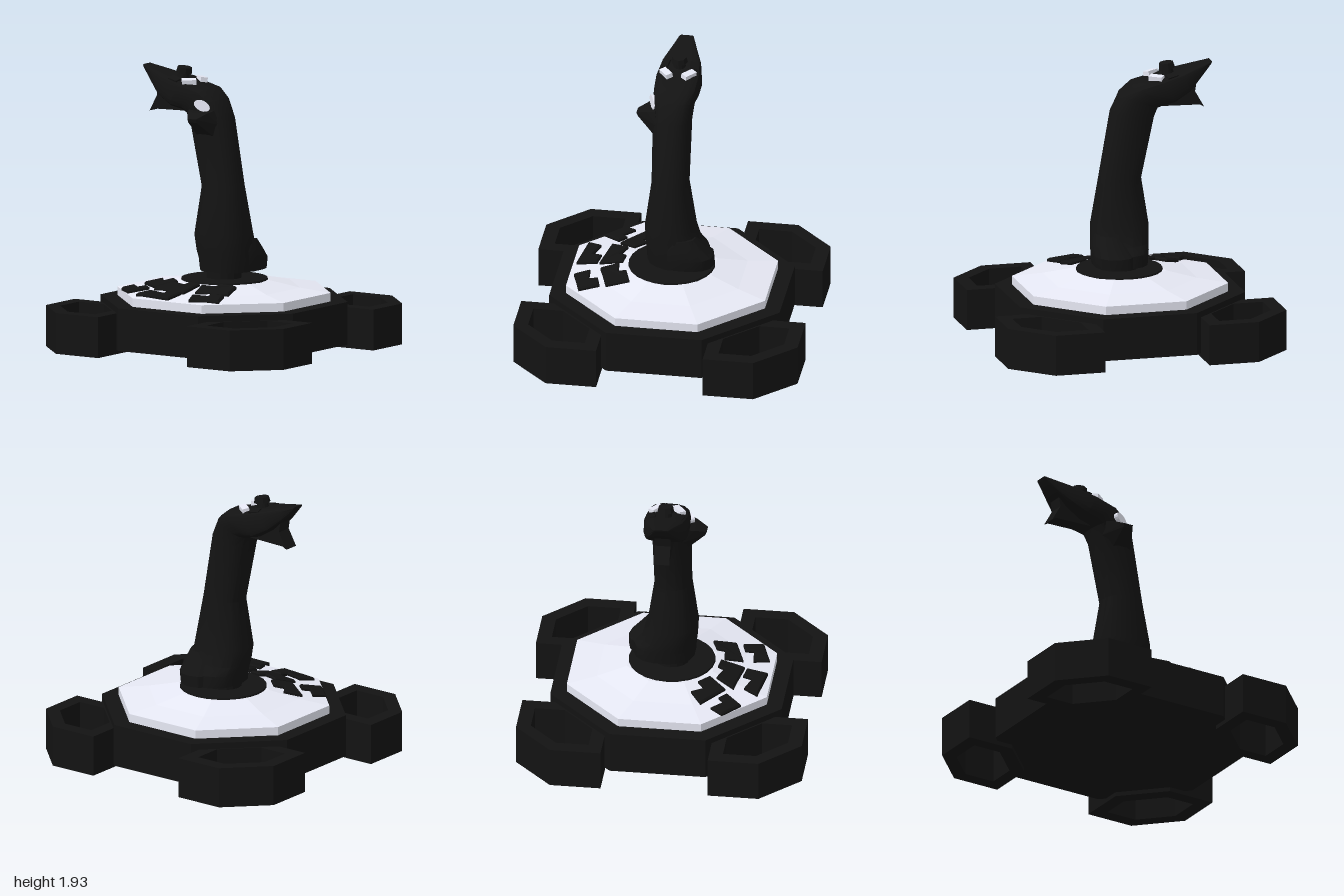
import * as THREE from 'three';
import { toCreasedNormals } from 'three/addons/utils/BufferGeometryUtils.js';
import { ConvexGeometry } from 'three/addons/geometries/ConvexGeometry.js';

const black = new THREE.MeshStandardMaterial({ color: 0x131313, flatShading: true });
const blackSmooth = new THREE.MeshStandardMaterial({ color: 0x131313 });
const pale = new THREE.MeshStandardMaterial({ color: 0xe6e8f4, flatShading: true });

// Regular octagonal solid from a profile of [apothem, y]
function octagon(profile) {
  const k = 1 / Math.cos(Math.PI / 8);
  return new THREE.LatheGeometry(profile.map(([r, y]) => new THREE.Vector2(r * k, y)), 8, Math.PI / 8);
}

// Flat slab from an outline of [x, z], rising from y = 0
function slab(outline, height, hole, bevel = 0) {
  const flip = (pts) => pts.map(([x, z]) => new THREE.Vector2(x, -z));
  const shape = new THREE.Shape(flip(outline));
  if (hole) shape.holes.push(new THREE.Path(flip(hole).reverse()));
  const g = new THREE.ExtrudeGeometry(shape, {
    depth: height, bevelEnabled: bevel > 0, bevelSize: bevel, bevelOffset: -bevel,
    bevelThickness: bevel, bevelSegments: 1,
  });
  return g.rotateX(-Math.PI / 2);
}

// Skin over rings; each ring is [ax, ay, bx, by, zMin, zMax, roundness]
function loft(rings, sides) {
  const pos = [], index = [];
  for (const [ax, ay, bx, by, z0, z1, round = 0.85] of rings) {
    const soft = (v) => Math.sign(v) * Math.abs(v) ** round;
    for (let j = 0; j < sides; j++) {
      const t = ((j + 0.5) / sides) * Math.PI * 2, c = soft(Math.cos(t)), s = soft(Math.sin(t));
      pos.push((ax + bx) / 2 + (c * (bx - ax)) / 2, (ay + by) / 2 + (c * (by - ay)) / 2,
        (z0 + z1) / 2 + (s * (z1 - z0)) / 2);
    }
  }
  const top = (rings.length - 1) * sides;
  for (let i = 0; i < rings.length - 1; i++) {
    for (let j = 0; j < sides; j++) {
      const a = i * sides + j, b = i * sides + ((j + 1) % sides);
      index.push(a, a + sides, b, b, a + sides, b + sides);
    }
  }
  for (let j = 1; j < sides - 1; j++) index.push(0, j, j + 1, top, top + j + 1, top + j);
  const g = new THREE.BufferGeometry();
  g.setAttribute('position', new THREE.Float32BufferAttribute(pos, 3));
  g.setIndex(index);
  return toCreasedNormals(g, 0.5);
}

// Height of the sloping top plate at a point
function plateHeight(x, z) {
  const d = Math.max(Math.abs(x), Math.abs(z), (Math.abs(x) + Math.abs(z)) * Math.SQRT1_2);
  return d > 0.5 ? 0.39 + (0.7 - d) * 0.15 : 0.42 + (0.5 - d) * 0.23;
}

export function createModel() {
  const model = new THREE.Group();
  const add = (name, geometry, material = black, parent = model) => {
    const m = new THREE.Mesh(geometry, material);
    m.name = name;
    parent.add(m);
    return m;
  };

  // Base and pale top plate
  add('base', octagon([[0, 0.03], [0.81, 0.03], [0.81, 0.33], [0, 0.33]]));
  add('topPlate', octagon([[0.7, 0.32], [0.7, 0.39], [0.5, 0.42], [0.3, 0.466], [0, 0.468]]), pale);

  // Hollow corner feet, one turned to each corner
  const foot = slab(
    [[0.375, 1], [0.73, 1], [1, 0.73], [1, 0.375], [0.65, 0.375], [0.375, 0.65]], 0.287,
    [[0.47, 0.9], [0.7, 0.9], [0.9, 0.7], [0.9, 0.47], [0.69, 0.47], [0.47, 0.69]]);
  ['frontLeftFoot', 'backLeftFoot', 'backRightFoot', 'frontRightFoot'].forEach((name, i) => {
    add(name, foot).rotation.y = (i * Math.PI) / 2;
  });

  // Notched keys that follow the slope of the plate
  const keys = [
    [[-0.49, 0.26], [-0.385, 0.18], [-0.325, 0.265], [-0.27, 0.215], [-0.19, 0.29], [-0.29, 0.41]],
    [[-0.575, 0.42], [-0.52, 0.335], [-0.435, 0.415], [-0.395, 0.375], [-0.335, 0.425], [-0.44, 0.54]],
    [[-0.27, 0.465], [-0.19, 0.335], [-0.075, 0.375], [-0.06, 0.33], [0.03, 0.34], [0.01, 0.51]],
    [[-0.305, 0.635], [-0.25, 0.535], [-0.115, 0.575], [-0.105, 0.51], [0, 0.525], [-0.01, 0.675]],
    [[0.055, 0.36], [0.165, 0.35], [0.16, 0.295], [0.28, 0.255], [0.32, 0.415], [0.09, 0.49]],
    [[0.11, 0.555], [0.235, 0.545], [0.225, 0.485], [0.315, 0.46], [0.365, 0.6], [0.155, 0.665]],
  ];
  const keyGroup = new THREE.Group();
  keyGroup.name = 'keys';
  model.add(keyGroup);
  keys.forEach((outline, i) => {
    const g = slab(outline, 0.014, null, 0.01);
    const p = g.attributes.position;
    for (let k = 0; k < p.count; k++) p.setY(k, p.getY(k) + plateHeight(p.getX(k), p.getZ(k)));
    g.computeVertexNormals();
    add('key' + (i + 1), g, black, keyGroup);
  });

  // Collar and neck under the stick
  add('collar', new THREE.CylinderGeometry(0.3, 0.305, 0.022, 24)).position.set(0.005, 0.467, 0);
  add('neck', new THREE.CylinderGeometry(0.125, 0.125, 0.09, 16)).position.set(0, 0.505, 0);

  // Grip bending over into the flat-topped, pointed head
  add('grip', loft([
    [-0.175, 0.53, 0.21, 0.53, -0.27, 0.165],
    [-0.183, 0.615, 0.215, 0.615, -0.265, 0.172],
    [-0.19, 0.67, 0.212, 0.67, -0.21, 0.178],
    [-0.2, 0.78, 0.205, 0.8, -0.17, 0.185],
    [-0.148, 1.12, 0.148, 1.13, -0.12, 0.14],
    [-0.24, 1.55, 0.065, 1.6, -0.125, 0.145],
    [-0.265, 1.62, 0.0, 1.73, -0.135, 0.148, 0.75],
    [-0.3, 1.64, -0.09, 1.8, -0.155, 0.155, 0.65],
    [-0.37, 1.66, -0.27, 1.84, -0.158, 0.158, 0.5],
    [-0.48, 1.73, -0.42, 1.87, -0.135, 0.135, 0.4],
    [-0.56, 1.81, -0.54, 1.9, -0.09, 0.09, 0.4],
    [-0.64, 1.9, -0.65, 1.925, -0.05, 0.05, 0.4],
  ], 16), blackSmooth);

  // Palm rest flaring out at the back of the grip
  add('palmRest', loft([
    [-0.07, 0.53, 0.22, 0.53, -0.31, 0.1],
    [-0.07, 0.61, 0.23, 0.61, -0.31, 0.1],
    [-0.04, 0.66, 0.222, 0.68, -0.245, 0.09],
    [0, 0.73, 0.2, 0.75, -0.18, 0.05],
  ], 14), blackSmooth);

  // Trigger under the head
  const triggerShape = new THREE.Shape([[-0.59, 1.605], [-0.56, 1.622], [-0.25, 1.63], [-0.25, 1.74],
    [-0.42, 1.83], [-0.54, 1.81], [-0.525, 1.72]].map(([x, y]) => new THREE.Vector2(x, y)));
  add('trigger', new THREE.ExtrudeGeometry(triggerShape, { depth: 0.11, bevelEnabled: false }))
    .position.z = -0.055;

  // Thumb ledge on the front of the grip
  const ledge = [];
  for (const [y, z, x0, x1] of [[1.66, 0.12, -0.21, 0.0], [1.645, 0.18, -0.18, -0.02],
    [1.61, 0.26, -0.13, -0.06], [1.585, 0.25, -0.13, -0.06], [1.48, 0.13, -0.14, 0.0],
    [1.56, 0.1, -0.21, 0.03]]) {
    ledge.push(new THREE.Vector3(x0, y, z), new THREE.Vector3(x1, y, z));
  }
  add('thumbLedge', new ConvexGeometry(ledge));

  // Oval pale side button
  const side = add('sideButton', new THREE.CylinderGeometry(0.06, 0.06, 0.045, 20), pale);
  side.position.set(-0.09, 1.69, 0.135);
  side.quaternion.setFromUnitVectors(new THREE.Vector3(0, 1, 0), new THREE.Vector3(0.42, 0.1, 0.9).normalize());
  side.scale.z = 0.6;

  // Hat switch on top of the head
  const hat = new THREE.Group();
  hat.name = 'hatSwitch';
  hat.position.set(-0.34, 1.86, 0);
  hat.rotation.z = -0.14;
  model.add(hat);
  add('hatStem', new THREE.CylinderGeometry(0.035, 0.045, 0.06, 12), black, hat).position.y = 0.015;
  add('hatCap', new THREE.CylinderGeometry(0.05, 0.058, 0.04, 8), black, hat).position.y = 0.048;

  // Pale and dark buttons either side of the hat switch
  for (const s of [-1, 1]) {
    const name = s > 0 ? 'front' : 'back';
    const light = add(name + 'LightButton', new THREE.BoxGeometry(0.1, 0.035, 0.05), pale);
    light.position.set(-0.24, 1.84, s * 0.08);
    light.rotation.set(s * 0.2, s * 0.65, -0.12);
    const dark = add(name + 'DarkButton', new THREE.BoxGeometry(0.08, 0.04, 0.05));
    dark.position.set(-0.35, 1.84, s * 0.095);
    dark.rotation.set(s * 0.3, -s * 0.2, -0.14);
  }
  return model;
}
